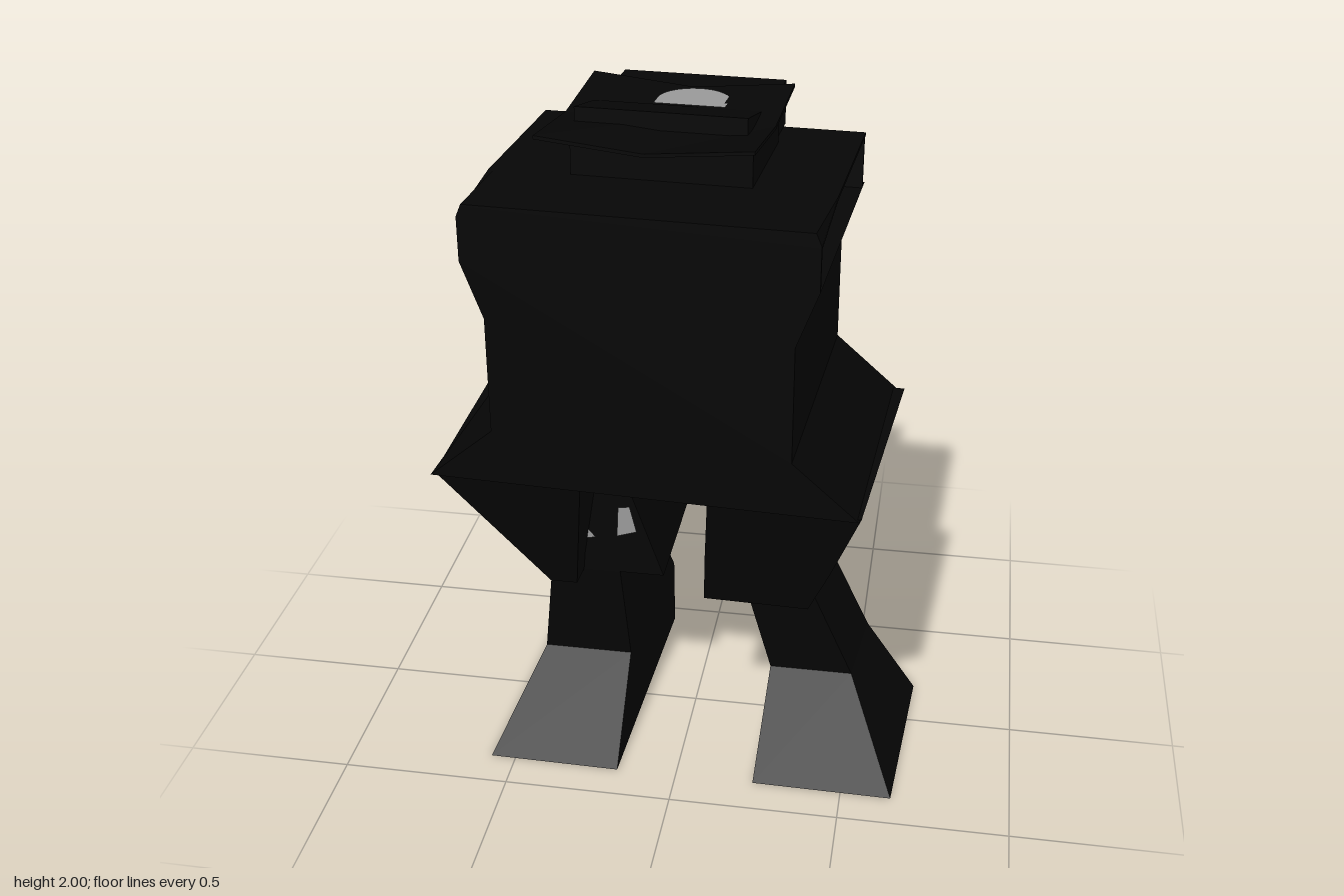
import * as THREE from 'three';

export function createModel() {
  const black = new THREE.MeshStandardMaterial({ name: 'black', color: 0x060606 });
  const grey = new THREE.MeshStandardMaterial({ name: 'grey', color: 0x9c9c9c });
  const model = new THREE.Group();
  model.name = 'robot';

  const add = (parent, name, geometry, material = black) => {
    const mesh = new THREE.Mesh(geometry, material);
    mesh.name = name;
    parent.add(mesh);
    return mesh;
  };
  const box = (w, y0, y1, z0, z1, sx = 1, sz = 1) =>
    new THREE.BoxGeometry(w, y1 - y0, z1 - z0, sx, 1, sz).translate(0, (y0 + y1) / 2, (z0 + z1) / 2);

  // Move each vertex by a rule
  const bend = (geometry, rule) => {
    const p = geometry.attributes.position;
    const v = new THREE.Vector3();
    for (let i = 0; i < p.count; i++) {
      rule(v.fromBufferAttribute(p, i));
      p.setXYZ(i, v.x, v.y, v.z);
    }
    const flat = geometry.toNonIndexed();
    flat.computeVertexNormals();
    return flat;
  };

  // Flat-sided solid through sections [y, frontRight, frontLeft, backLeft, backRight], each corner [x, z]
  const loft = (sections) => {
    const rings = sections.map(([y, ...corners]) => corners.map(([x, z]) => [x, y, z]));
    const p = [];
    const quad = (a, b, c, d) => p.push(...a, ...b, ...c, ...a, ...c, ...d);
    for (let r = 0; r < rings.length - 1; r++) {
      for (let i = 0; i < 4; i++) {
        const j = (i + 1) % 4;
        quad(rings[r][i], rings[r][j], rings[r + 1][j], rings[r + 1][i]);
      }
    }
    const [a, b, c, d] = rings[0];
    quad(d, c, b, a);
    quad(...rings[rings.length - 1]);
    const g = new THREE.BufferGeometry();
    g.setAttribute('position', new THREE.Float32BufferAttribute(p, 3));
    g.computeVertexNormals();
    return g;
  };
  const shapeOf = (pts) => new THREE.Shape(pts.map(([x, y]) => new THREE.Vector2(x, y)));

  // Upper body, turned slightly on the legs
  const upper = new THREE.Group();
  upper.name = 'upperBody';
  upper.position.set(-0.063, 0, 0.01);
  upper.rotation.y = -0.058;
  model.add(upper);

  const half = [[0.608, 0.99], [0.42, 1.15], [0.42, 1.49], [0.48, 1.65]];
  const outline = [...half, ...half.map(([x, y]) => [-x, y]).reverse()];
  add(upper, 'torso', new THREE.ExtrudeGeometry(shapeOf(outline), { depth: 0.83, bevelEnabled: false })
    .translate(0, 0, -0.41));

  // Shoulder deck with dropped front corners, open at both sides, carried by cross panels
  const front = [[-0.48, 1.65], [0.48, 1.65], [0.48, 1.77], [0.465, 1.805], [-0.465, 1.805], [-0.48, 1.77]];
  add(upper, 'frontPanel', new THREE.ExtrudeGeometry(shapeOf(front), { depth: 0.01, bevelEnabled: false })
    .translate(0, 0, 0.41));
  add(upper, 'innerFrontPanel', box(0.84, 1.65, 1.795, 0.32, 0.33));
  add(upper, 'innerBackPanel', box(0.66, 1.65, 1.795, -0.225, -0.215));
  add(upper, 'backPanel', box(0.96, 1.65, 1.805, -0.37, -0.36));
  add(upper, 'shoulderDeck', bend(box(0.96, 1.8, 1.81, -0.385, 0.42, 3, 2), (v) => {
    if (Math.abs(v.x) < 0.4) v.x = Math.sign(v.x) * 0.465;
    else if (v.z > 0.4) v.y -= 0.035;
    if (Math.abs(v.z) < 0.2) v.z = 0.15;
  }));

  // Head with a rear housing, a raised front wedge and a dished brim
  add(upper, 'head', box(0.5, 1.78, 1.935, -0.24, 0.14));
  add(upper, 'rearHousing', box(0.48, 1.81, 1.94, -0.415, -0.24));
  add(upper, 'headWedge', bend(box(0.47, 1.93, 2, -0.06, 0.14), (v) => {
    if (v.y > 1.99 && v.z < 0) v.y = 1.957;
  }));
  add(upper, 'brim', bend(box(0.58, 1.94, 1.95, -0.295, 0.295, 2, 2), (v) => {
    if (Math.abs(v.x) > 0.1 && Math.abs(v.z) > 0.1) v.y += 0.028;
  }).translate(0, 0, 0.035));

  // Round-ended light lying in the rear half of the brim
  const arch = new THREE.Shape();
  arch.moveTo(-0.1, 0.055);
  arch.lineTo(0.1, 0.055);
  arch.lineTo(0.1, 0.11);
  arch.absarc(0, 0.11, 0.1, 0, Math.PI, false);
  add(upper, 'headLight', new THREE.ShapeGeometry(arch, 16).rotateX(-Math.PI / 2)
    .translate(0.033, 1.962, 0), grey);

  // Thighs: tapered covers below the hips
  add(model, 'rightThigh', loft([
    [0.54, [-0.41, 0.2], [-0.33, 0.2], [-0.3, -0.42], [-0.56, -0.43]],
    [0.995, [-0.685, 0.385], [-0.26, 0.41], [-0.26, -0.42], [-0.685, -0.41]],
  ]));
  add(model, 'rightInnerThigh', loft([
    [0.54, [-0.38, 0.12], [-0.08, 0.12], [-0.08, -0.41], [-0.38, -0.41]],
    [0.84, [-0.38, 0.12], [-0.185, 0.12], [-0.185, -0.41], [-0.38, -0.41]],
    [0.995, [-0.38, 0.12], [-0.17, 0.12], [-0.17, -0.41], [-0.38, -0.41]],
  ]));
  add(model, 'leftThigh', loft([
    [0.54, [0.06, 0.22], [0.37, 0.23], [0.45, -0.4], [0.06, -0.42]],
    [0.72, [0.075, 0.31], [0.435, 0.32], [0.51, -0.38], [0.075, -0.41]],
    [0.995, [0.1, 0.43], [0.525, 0.455], [0.595, -0.35], [0.1, -0.39]],
  ]));

  // Small grey marks on the front of the inner thigh
  const marks = [
    [[-0.22, 0.67], [-0.16, 0.69], [-0.18, 0.775], [-0.215, 0.77]],
    [[-0.32, 0.655], [-0.285, 0.66], [-0.31, 0.69]],
  ];
  marks.forEach((pts, n) =>
    add(model, 'thighMark' + (n + 1), new THREE.ShapeGeometry(shapeOf(pts)).translate(0, 0, 0.126), grey));

  // Shins running into wedge-shaped feet
  add(model, 'rightLeg', loft([
    [0, [-0.575, 0.385], [-0.18, 0.39], [-0.145, -0.44], [-0.53, -0.46]],
    [0.23, [-0.46, 0.1], [-0.19, 0.1], [-0.145, -0.43], [-0.43, -0.455]],
    [0.6, [-0.42, 0.12], [-0.22, 0.12], [-0.21, -0.24], [-0.41, -0.25]],
  ]));
  add(model, 'leftLeg', loft([
    [0, [0.235, 0.385], [0.65, 0.39], [0.69, -0.18], [0.25, -0.2]],
    [0.23, [0.25, 0.1], [0.5, 0.1], [0.53, -0.18], [0.27, -0.2]],
    [0.6, [0.15, 0.12], [0.34, 0.12], [0.35, -0.19], [0.15, -0.2]],
  ]));
  return model;
}
